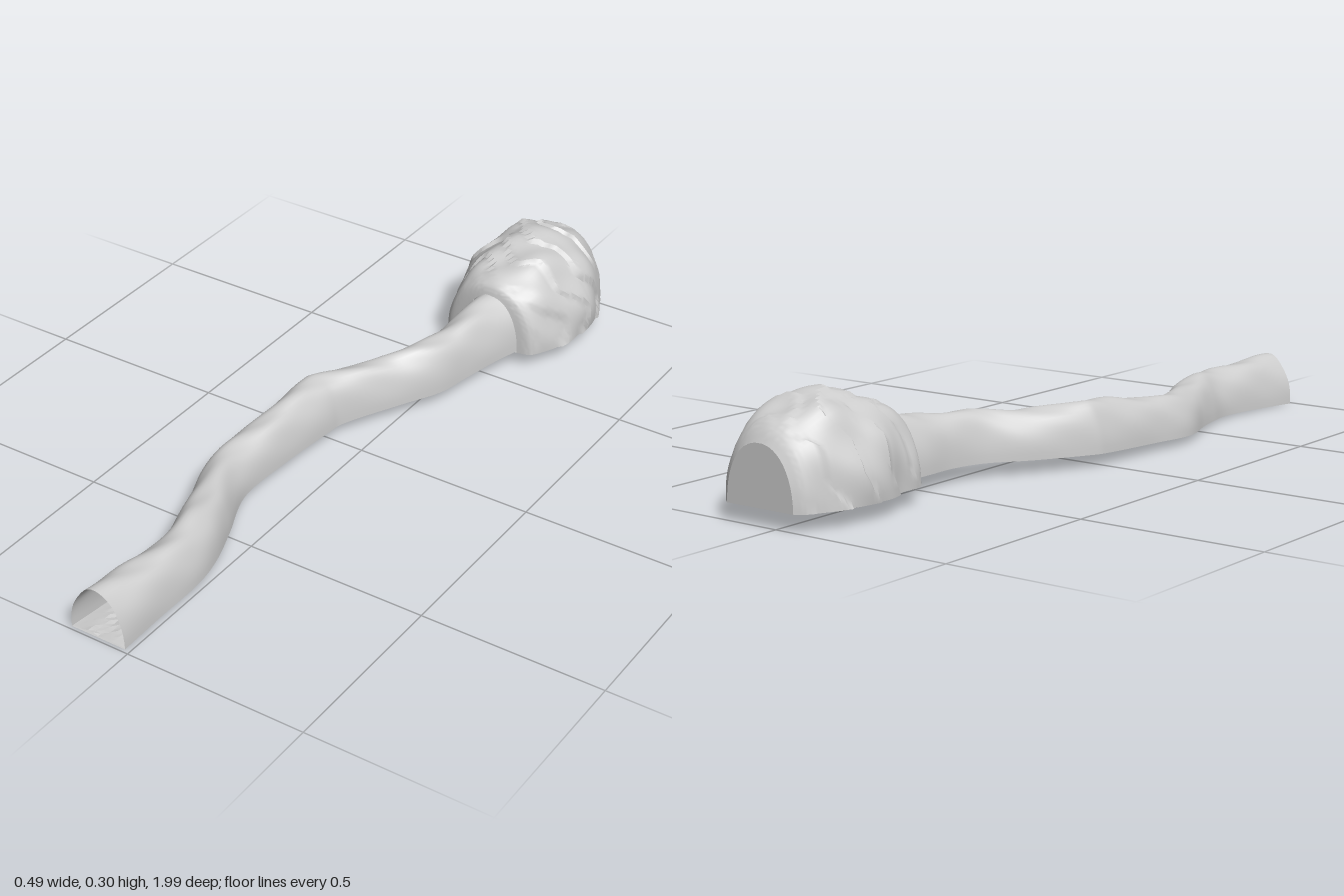
import * as THREE from 'three';
import { toCreasedNormals } from 'three/addons/utils/BufferGeometryUtils.js';

const material = new THREE.MeshStandardMaterial({ color: 0xcccccc, side: THREE.DoubleSide });

// Stations along the cave: [z, left edge x, right edge x, floor y, roof y]
const tunnelStations = [
  [0.99, -0.175, -0.015, 0.003, 0.14], [0.85, -0.155, -0.015, 0.007, 0.136],
  [0.7, -0.145, -0.013, 0.011, 0.13], [0.6, -0.165, -0.03, 0.015, 0.137],
  [0.5, -0.195, -0.065, 0.019, 0.132], [0.36, -0.243, -0.118, 0.024, 0.131],
  [0.2, -0.235, -0.113, 0.029, 0.145], [0.02, -0.223, -0.092, 0.035, 0.166],
  [-0.05, -0.205, -0.075, 0.037, 0.168], [-0.2, -0.13, 0.005, 0.04, 0.159],
  [-0.3, -0.065, 0.06, 0.042, 0.174], [-0.4, -0.042, 0.083, 0.044, 0.176],
  [-0.5, -0.043, 0.105, 0.045, 0.188], [-0.6, -0.042, 0.134, 0.046, 0.2],
];
const chamberStations = [
  [-0.578, -0.042, 0.134, 0.046, 0.2], [-0.588, -0.09, 0.17, 0.046, 0.225],
  [-0.62, -0.108, 0.193, 0.046, 0.245], [-0.68, -0.118, 0.218, 0.046, 0.27],
  [-0.74, -0.135, 0.232, 0.046, 0.286], [-0.8, -0.132, 0.238, 0.046, 0.294],
  [-0.85, -0.128, 0.234, 0.046, 0.297], [-0.9, -0.117, 0.218, 0.046, 0.278],
  [-0.95, -0.095, 0.193, 0.046, 0.257], [-0.98, -0.078, 0.175, 0.046, 0.232],
  [-1.0, -0.055, 0.152, 0.046, 0.2],
];

// Smoothly interpolates the stations into count + 1 rows
function resample(stations, count) {
  const last = stations.length - 1;
  const spline = (k, t) => {
    const i = Math.min(Math.floor(t), last - 1), f = t - i;
    const v = (n) => stations[Math.min(Math.max(n, 0), last)][k];
    const m0 = (v(i + 1) - v(i - 1)) / 2, m1 = (v(i + 2) - v(i)) / 2;
    return v(i) * (1 + 2 * f) * (1 - f) ** 2 + v(i + 1) * f * f * (3 - 2 * f)
      + m0 * f * (1 - f) ** 2 - m1 * f * f * (1 - f);
  };
  return Array.from({ length: count + 1 }, (_, i) =>
    [0, 1, 2, 3, 4].map((k) => spline(k, (i / count) * last)));
}

// Skins a grid of points: point(row, v) with v from 0 to 1 across the row
function skin(rows, across, point) {
  const positions = [], index = [];
  rows.forEach((row, i) => {
    for (let j = 0; j <= across; j++) {
      positions.push(...point(row, j / across));
      if (i < rows.length - 1 && j < across) {
        const a = i * (across + 1) + j, b = a + across + 1;
        index.push(a, b, a + 1, b, b + 1, a + 1);
      }
    }
  });
  const geometry = new THREE.BufferGeometry();
  geometry.setAttribute('position', new THREE.Float32BufferAttribute(positions, 3));
  geometry.setIndex(index);
  geometry.computeVertexNormals();
  return geometry;
}

// Point on the arch over a row, pushed in or out by the rock relief
function arch([z, x0, x1, y0, y1], v, relief) {
  const angle = v * Math.PI;
  const r = 1 + relief(z, angle);
  const c = Math.cos(angle);
  return [
    (x0 + x1) / 2 + ((x1 - x0) / 2) * Math.sign(c) * Math.abs(c) ** 0.92 * r,
    y0 + (y1 - y0) * Math.sin(angle) ** 0.95 * r,
    z,
  ];
}

const tunnelRelief = (z, a) =>
  Math.sin(a) * (0.022 * Math.sin(21 * z + 4 * a) + 0.016 * Math.sin(37 * z - 6 * a + 1));

// Broken ledges that fade out at both ends of the chamber
function chamberRelief(z, a) {
  const fade = Math.min(1, Math.max(0, (-0.585 - z) / 0.06), Math.max(0, (z + 1) / 0.1));
  const t = z * 11 + 0.5 * Math.sin(3 * a + 1) + 0.25 * Math.sin(7 * a);
  const ledge = t - Math.floor(t) - 0.5;
  return fade * (0.045 * ledge + 0.02 * Math.sin(5 * a + 24 * z) + 0.018 * Math.sin(9 * a - 31 * z));
}

export function createModel() {
  const group = new THREE.Group();
  const add = (name, geometry) => {
    const mesh = new THREE.Mesh(geometry, material);
    mesh.name = name;
    group.add(mesh);
  };

  // Winding tunnel and its floor
  const tunnel = resample(tunnelStations, 110);
  add('tunnelRoof', skin(tunnel, 24, (row, v) => arch(row, v, tunnelRelief)));
  add('tunnelUnderside', skin(tunnel, 4, ([z, x0, x1, y], v) => [x0 + (x1 - x0) * v, y, z]));

  // Rough stony ground inside the tunnel
  add('tunnelGround', toCreasedNormals(skin(tunnel, 10, ([z, x0, x1, y], v) => [
    x1 + (x0 - x1) * (0.02 + 0.96 * v),
    y + 0.004 + 0.007 * Math.sin(v * Math.PI) * (1 + Math.sin(v * 17 + z * 60) * Math.sin(z * 43 + v * 5)) / 2,
    z,
  ]), 0.3));

  // Rocky chamber
  const chamber = resample(chamberStations, 54);
  add('chamberDome', toCreasedNormals(
    skin(chamber, 44, (row, v) => arch(row, v, chamberRelief)), 0.7));
  add('chamberFloor', skin(chamber, 6, (row, v) => {
    const right = arch(row, 0, chamberRelief)[0], left = arch(row, 1, chamberRelief)[0];
    return [left + (right - left) * v, row[3], row[0]];
  }));

  // Flat arched wall closing the back of the chamber
  const end = chamber[chamber.length - 1];
  const outline = Array.from({ length: 33 }, (_, j) =>
    new THREE.Vector2(...arch(end, j / 32, chamberRelief).slice(0, 2)));
  const wall = new THREE.ShapeGeometry(new THREE.Shape(outline));
  wall.rotateY(Math.PI).scale(-1, 1, 1).translate(0, 0, end[0]);
  const order = wall.index.array;
  for (let i = 0; i < order.length; i += 3) [order[i], order[i + 1]] = [order[i + 1], order[i]];
  wall.computeVertexNormals();
  add('chamberBackWall', wall);

  return group;
}
